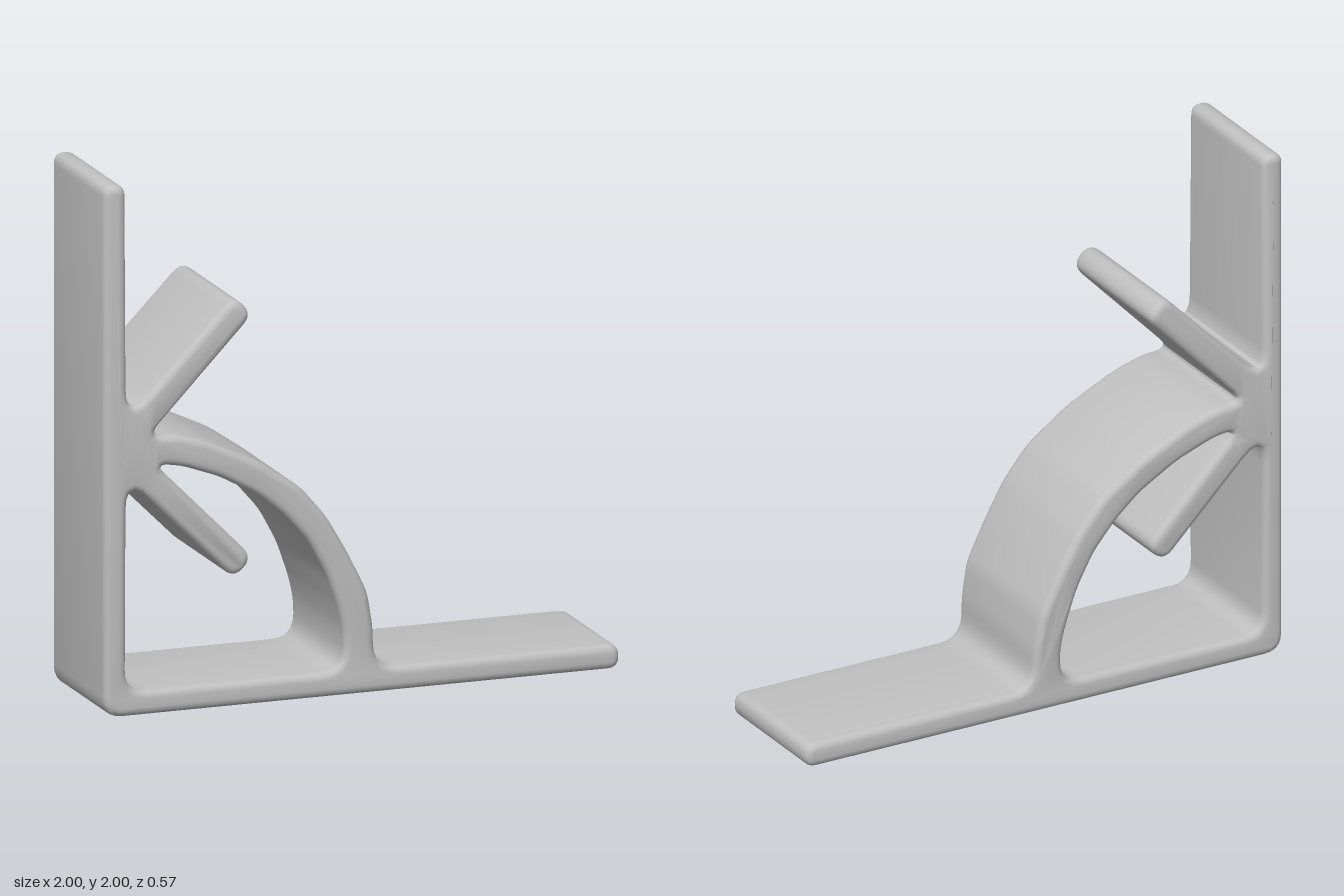
import * as THREE from 'three';
import { toCreasedNormals } from 'three/addons/utils/BufferGeometryUtils.js';

const HALF = 0.272;   // half the strip width along z
const BEVEL = 0.028;  // softened edge
const CURVE = 0.04;   // default corner cut along the arch

// Closed outline through corners [x, y, cut], each corner softened by its cut length
function softOutline(path, corners) {
  const toward = (a, b, d) => {
    const l = Math.hypot(b[0] - a[0], b[1] - a[1]);
    return [a[0] + (b[0] - a[0]) * d / l, a[1] + (b[1] - a[1]) * d / l];
  };
  const n = corners.length;
  corners.forEach((c, i) => {
    const cut = c[2] ?? CURVE;
    const a = toward(c, corners[(i + n - 1) % n], cut);
    const b = toward(c, corners[(i + 1) % n], cut);
    if (i === 0) path.moveTo(...a);
    else path.lineTo(...a);
    path.quadraticCurveTo(c[0], c[1], ...b);
  });
  path.closePath();
  return path;
}

export function createModel() {
  const group = new THREE.Group();
  group.name = 'bracket';
  const grey = new THREE.MeshStandardMaterial({ color: 0xc0c0c0 });
  grey.name = 'plain grey';

  const baseOuter = [[-1, 0.003, 0.075], [1, 0.003, 0.044], [1, 0.095, 0.044]];
  const archOuter = [
    [0.05, 0.095, 0.09], [0.045, 0.25], [0.02, 0.39], [-0.06, 0.55], [-0.135, 0.68],
    [-0.235, 0.8], [-0.4, 0.915], [-0.6, 1.01], [-0.72, 1.045], [-0.829, 1.048, 0.06],
  ];
  const upperStrut = [[-0.422, 1.47, 0.052], [-0.497, 1.545, 0.052], [-0.915, 1.118, 0.12]];
  const wallTop = [[-0.915, 2, 0.042], [-1, 2, 0.042]];
  const shape = softOutline(new THREE.Shape(),
    [...baseOuter, ...archOuter, ...upperStrut, ...wallTop]);

  // Opening under the arch, with the lower strut reaching into it
  const archInner = [
    [-0.07, 0.095, 0.085], [-0.07, 0.24], [-0.09, 0.33], [-0.135, 0.46], [-0.205, 0.59],
    [-0.3, 0.7], [-0.4, 0.785], [-0.55, 0.87], [-0.7, 0.925], [-0.8, 0.94, 0.05],
  ];
  const lowerStrut = [[-0.422, 0.556, 0.052], [-0.497, 0.481, 0.052], [-0.915, 0.898, 0.12]];
  shape.holes.push(softOutline(new THREE.Path(),
    [[-0.915, 0.095, 0.08], ...archInner, ...lowerStrut]));

  let geometry = new THREE.ExtrudeGeometry(shape, {
    depth: 2 * (HALF - BEVEL), curveSegments: 5, steps: 2,
    bevelThickness: BEVEL, bevelSize: BEVEL, bevelOffset: -BEVEL, bevelSegments: 4,
  });
  geometry.translate(0, 0, BEVEL - HALF);

  // The strip swells slightly in width around the hub, struts and arch
  const p = geometry.attributes.position;
  const { smoothstep } = THREE.MathUtils;
  for (let i = 0; i < p.count; i++) {
    const x = p.getX(i), y = p.getY(i);
    const swell = smoothstep(y, 0.05, 0.4) * (1 - smoothstep(y, 1.45, 1.8));
    const reach = 1 - smoothstep(x, 0, 0.2);
    p.setZ(i, p.getZ(i) * (1 + 0.04 * swell * reach));
  }

  geometry = toCreasedNormals(geometry, 0.7);
  const frame = new THREE.Mesh(geometry, grey);
  frame.name = 'bracketFrame';
  group.add(frame);
  return group;
}
